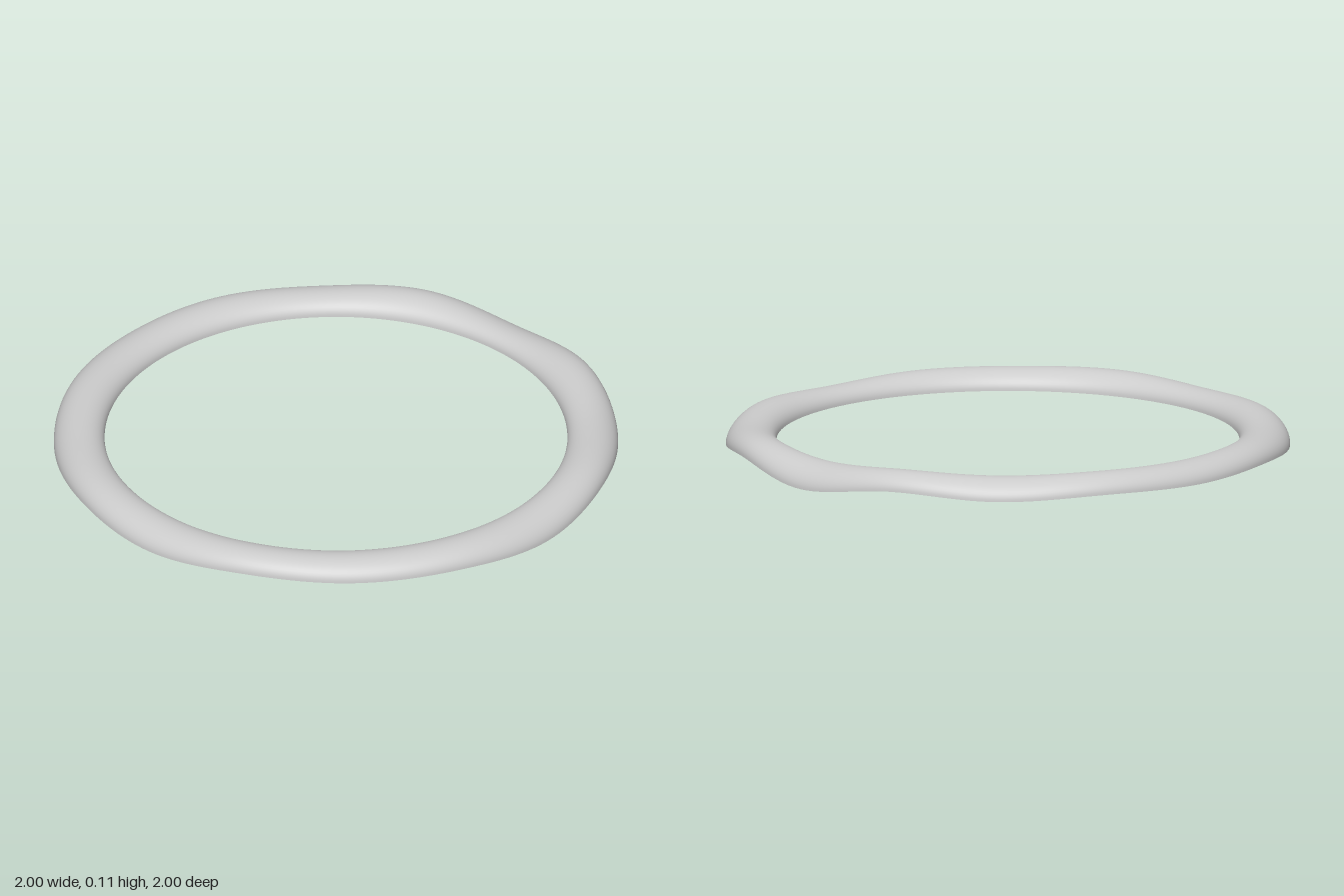
import * as THREE from 'three';

// Height of the wavy outer rim at 16 even steps around the ring, starting just past +x and turning towards +z
const RIM = [0.01, 0.035, 0.04, 0.046, 0.02, 0.033, 0.02, 0.037, 0.03, 0.035, 0.022, 0.04, 0.0, 0.046, 0.02, 0.035];
const INNER_Y = 0.035;

// Smooth periodic interpolation of the rim heights
function rimHeight(angle) {
  const n = RIM.length;
  const s = (angle / (2 * Math.PI)) * n - 0.5 + n;
  const i = Math.floor(s), f = s - i;
  const [a, b, c, d] = [-1, 0, 1, 2].map((k) => RIM[(i + k + n) % n]);
  return b + 0.5 * f * (c - a + f * (2 * a - 5 * b + 4 * c - d + f * (3 * (b - c) + d - a)));
}

// Open arched shell swept round the ring: flat inner edge, drooping outer edge
function ringGeometry(around = 192, across = 24) {
  const profile = [];
  for (let j = 0; j <= across; j++) {
    const p = Math.PI * (1 - j / across);
    profile.push(new THREE.Vector2(0.91 + 0.09 * Math.cos(p), INNER_Y + 0.066 * Math.sin(p)));
  }
  // Lathe runs from the outer edge inwards so its faces point up and out
  const geometry = new THREE.LatheGeometry(profile.reverse(), around);
  const pos = geometry.attributes.position;
  for (let i = 0; i < pos.count; i++) {
    const x = pos.getX(i), z = pos.getZ(i);
    const angle = (Math.atan2(z, x) + 2 * Math.PI) % (2 * Math.PI);
    const out = (Math.hypot(x, z) - 0.82) / 0.18;
    pos.setY(i, pos.getY(i) + (rimHeight(angle) - INNER_Y) * THREE.MathUtils.clamp(out, 0, 1));
  }
  geometry.computeVertexNormals();
  // Join the normals across the seam
  const nor = geometry.attributes.normal, last = around * (across + 1);
  for (let j = 0; j <= across; j++) {
    const n = new THREE.Vector3().fromBufferAttribute(nor, j);
    n.add(new THREE.Vector3().fromBufferAttribute(nor, last + j)).normalize();
    nor.setXYZ(j, n.x, n.y, n.z);
    nor.setXYZ(last + j, n.x, n.y, n.z);
  }
  return geometry;
}

export function createModel() {
  const group = new THREE.Group();
  const material = new THREE.MeshStandardMaterial({ color: 0xcccccc, side: THREE.DoubleSide });
  const ring = new THREE.Mesh(ringGeometry(), material);
  ring.name = 'wavyRing';
  group.add(ring);
  return group;
}
